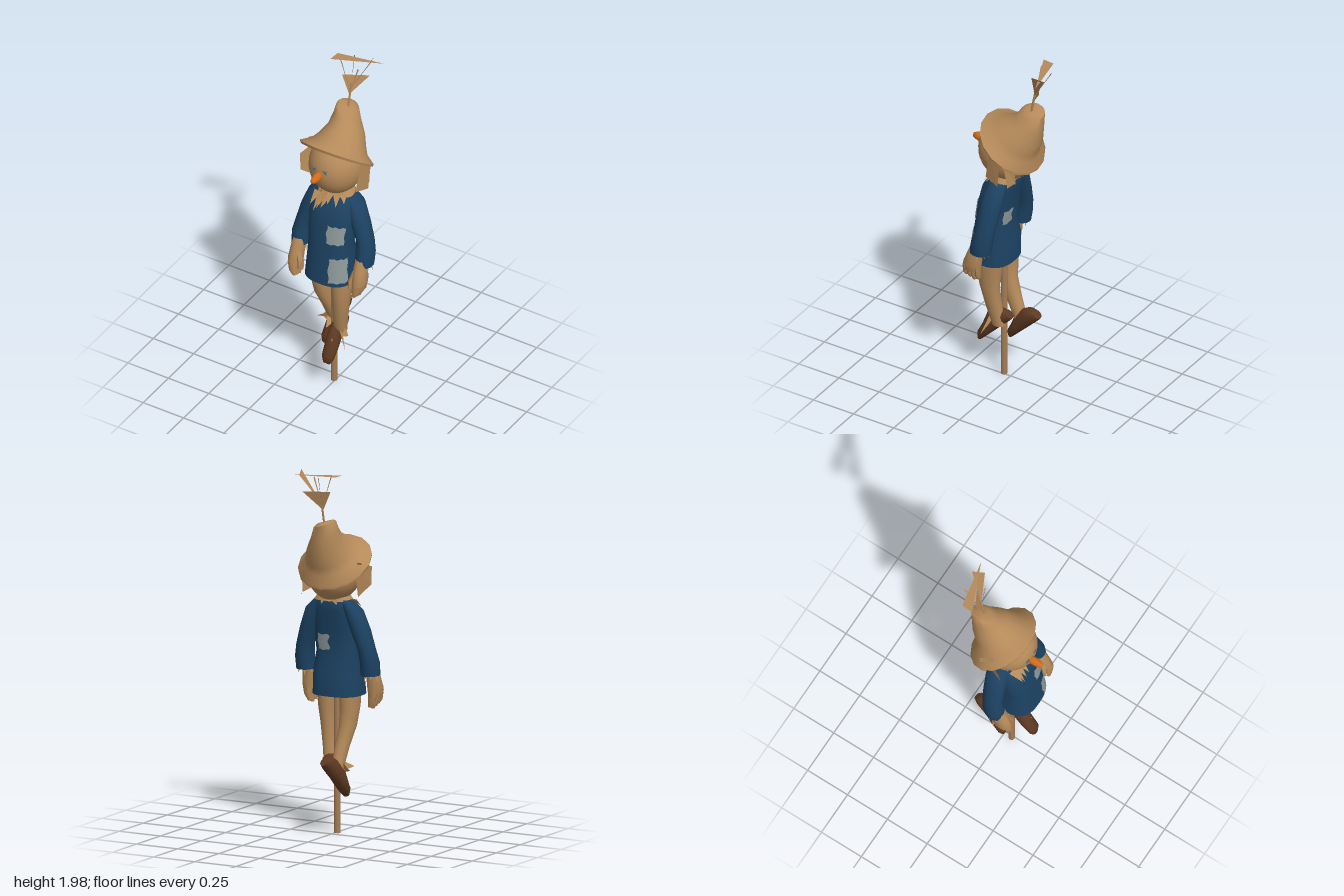
import * as THREE from 'three';
import { toCreasedNormals } from 'three/addons/utils/BufferGeometryUtils.js';

const mat = (name, color, side = THREE.FrontSide) => {
  const m = new THREE.MeshStandardMaterial({ color, side });
  m.name = name;
  return m;
};

// Unit outline point: exponent 1 is a circle, lower is boxier
const bend = (v, e) => Math.sign(v) * Math.abs(v) ** e;
const outline = (a, e) => [bend(Math.sin(a), e), bend(Math.cos(a), e)];

// Skin through rings [x, y, z, rx, rz, tilt about x, sideways slope]
function loft(rings, sides = 16, capStart = true, capEnd = true, e = 1) {
  const pos = [], idx = [], n = rings.length;
  const up = rings[n - 1][1] > rings[0][1];
  const tri = (a, b, c) => (up ? idx.push(a, b, c) : idx.push(a, c, b));
  for (const [x, y, z, rx, rz, t = 0, slope = 0] of rings) {
    for (let j = 0; j < sides; j++) {
      const [u, v] = outline((j / sides) * Math.PI * 2, e), w = rx * u, d = rz * v;
      pos.push(x + w, y + d * Math.sin(t) + w * slope, z + d * Math.cos(t));
    }
  }
  for (let i = 0; i < n - 1; i++) {
    for (let j = 0; j < sides; j++) {
      const k = (j + 1) % sides, p = i * sides, q = p + sides;
      tri(p + j, p + k, q + k);
      tri(p + j, q + k, q + j);
    }
  }
  const cap = (r, flip) => {
    const c = pos.length / 3, p = r * sides;
    pos.push(...rings[r].slice(0, 3));
    for (let j = 0; j < sides; j++) {
      const k = (j + 1) % sides;
      flip ? tri(c, p + k, p + j) : tri(c, p + j, p + k);
    }
  };
  if (capStart) cap(0, true);
  if (capEnd) cap(n - 1, false);
  const g = new THREE.BufferGeometry();
  g.setAttribute('position', new THREE.Float32BufferAttribute(pos, 3));
  g.setIndex(idx);
  return toCreasedNormals(g, 0.95);
}

// Flat straw blades, each a triangle of three points
function blades(list) {
  const g = new THREE.BufferGeometry();
  g.setAttribute('position', new THREE.Float32BufferAttribute(list.flat(2), 3));
  g.computeVertexNormals();
  return g;
}
const quad = (a, b, c, d) => [[a, b, c], [a, c, d]];

const BOXY = 0.77;
const TUNIC = [
  [0.005, 0.74, 0.09, 0.137, 0.12], [0.005, 0.87, 0.082, 0.13, 0.112],
  [0.003, 0.97, 0.088, 0.122, 0.092], [0, 1.1, 0.07, 0.13, 0.09],
  [0, 1.2, 0.05, 0.122, 0.086], [0, 1.25, 0.026, 0.105, 0.068], [0, 1.275, 0.022, 0.085, 0.055],
];

// Cloth panel hugging the tunic between two angles and two heights
function clothPatch(a0, a1, y0, y1) {
  const g = new THREE.PlaneGeometry(1, 1, 12, 8), p = g.attributes.position;
  for (let i = 0; i < p.count; i++) {
    const v = p.getY(i) + 0.5, a = a0 + (a1 - a0) * (p.getX(i) + 0.5) + 0.03 * Math.sin(v * 9);
    const y = y0 + (y1 - y0) * v + 0.003 * Math.sin(a * 17);
    let k = 0;
    while (k < TUNIC.length - 2 && y > TUNIC[k + 1][1]) k++;
    const f = (y - TUNIC[k][1]) / (TUNIC[k + 1][1] - TUNIC[k][1]);
    const [x, , z, rx, rz] = TUNIC[k].map((s, n) => s + (TUNIC[k + 1][n] - s) * f);
    const [u, w] = outline(a, BOXY);
    p.setXYZ(i, x + (rx + 0.004) * u, y, z + (rz + 0.004) * w);
  }
  g.computeVertexNormals();
  return g;
}

export function createModel() {
  const model = new THREE.Group();
  const straw = mat('straw', 0xb58a5a), strawThin = mat('strawThin', 0xb58a5a, THREE.DoubleSide);
  const blue = mat('blueCloth', 0x1c4262, THREE.DoubleSide);
  const grey = mat('greyPatch', 0x8f9a9b, THREE.DoubleSide);
  const brown = mat('brownLeather', 0x5e3a22), orange = mat('orange', 0xd46c1c);
  const wood = mat('wood', 0xa57e57), stitch = mat('stitch', 0x5c6d80);
  const add = (name, geo, m) => {
    const mesh = new THREE.Mesh(geo, m);
    mesh.name = name;
    model.add(mesh);
    return mesh;
  };

  // Support pole
  add('pole', new THREE.CylinderGeometry(0.018, 0.018, 1.2, 8), wood).position.set(-0.008, 0.6, 0.045);

  // Tunic with sewn patches
  add('tunic', loft(TUNIC, 32, false, true, BOXY), blue);
  add('hips', loft([[0, 0.755, 0.085, 0.122, 0.105], [0, 0.84, 0.085, 0.1, 0.08]], 16), straw);
  add('chestPatch', clothPatch(0.1, 0.98, 0.995, 1.1), grey);
  add('hemPatch', clothPatch(0.25, 1.2, 0.765, 0.91), grey);
  add('backPatch', clothPatch(Math.PI - 0.55, Math.PI - 0.03, 0.985, 1.07), grey);

  // Arms, hands and wrist straw
  for (const s of [1, -1]) {
    const side = s > 0 ? 'left' : 'right', ox = s > 0 ? 0 : -0.006;
    const flip = (rings) => rings.map(([x, ...r]) => [s * x + ox, ...r]);
    add(side + 'Sleeve', loft(flip([
      [0.07, 1.262, 0.018, 0.03, 0.042], [0.112, 1.205, 0.026, 0.05, 0.06], [0.15, 1.1, 0.036, 0.052, 0.06],
      [0.183, 1.0, 0.042, 0.046, 0.056], [0.194, 0.93, 0.055, 0.05, 0.06], [0.192, 0.86, 0.065, 0.05, 0.06],
    ]), 14, true, false), blue);
    add(side + 'Hand', loft(flip([
      [0.19, 0.9, 0.08, 0.036, 0.042], [0.191, 0.84, 0.1, 0.038, 0.046],
      [0.195, 0.78, 0.113, 0.04, 0.055], [0.191, 0.735, 0.117, 0.03, 0.05],
    ]), 10), straw);
    for (let i = 0; i < 4; i++) {
      const z = 0.08 + i * 0.024;
      add(side + 'Finger', loft(flip([
        [0.197, 0.77, z, 0.026, 0.015], [0.19, 0.715, z + 0.002, 0.023, 0.014], [0.18, 0.675 + 0.008 * Math.abs(i - 1), z + 0.004, 0.012, 0.01],
      ]), 7), straw);
    }
    add(side + 'Thumb', loft(flip([
      [0.172, 0.83, 0.12, 0.018, 0.02], [0.154, 0.78, 0.14, 0.014, 0.016], [0.154, 0.735, 0.148, 0.008, 0.009],
    ]), 7), straw);
    const cuff = [];
    for (let i = 0; i < 8; i++) {
      const a = (i / 8) * Math.PI * 2;
      const at = (b, r, y) => [s * (0.193 + r * Math.sin(b)) + ox, y, 0.075 + r * 1.15 * Math.cos(b)];
      cuff.push([at(a, 0.038, 0.88), at(a + 0.6, 0.038, 0.88), at(a + 0.3, 0.05, 0.825 + 0.015 * (i % 2))]);
    }
    add(side + 'WristStraw', blades(cuff), strawThin);
  }

  // Legs, shoes and ankle straw
  const legs = {
    left: { rings: [[0.066, 0.79, 0.08, 0.055, 0.075], [0.067, 0.68, 0.085, 0.05, 0.068], [0.064, 0.58, 0.09, 0.044, 0.056],
      [0.05, 0.46, 0.074, 0.038, 0.046], [0.037, 0.33, 0.05, 0.03, 0.036]], heel: [0.025, 0.385, -0.03], turn: 0 },
    right: { rings: [[-0.071, 0.79, 0.072, 0.053, 0.076], [-0.071, 0.68, 0.07, 0.049, 0.066], [-0.066, 0.58, 0.058, 0.044, 0.054],
      [-0.055, 0.47, 0.015, 0.036, 0.046], [-0.05, 0.34, -0.035, 0.03, 0.036]], heel: [-0.038, 0.395, -0.163], turn: 0.1 },
  };
  for (const [side, { rings, heel, turn }] of Object.entries(legs)) {
    add(side + 'Leg', loft(rings, 16, true, true, 0.9), straw);
    const shoe = add(side + 'Shoe', loft([
      [0, 0, -0.028, 0.024, 0.026], [0, 0.03, -0.043, 0.036, 0.043], [0, 0.11, -0.054, 0.036, 0.054],
      [0, 0.18, -0.037, 0.039, 0.037], [0, 0.245, -0.026, 0.036, 0.026], [0, 0.275, -0.013, 0.02, 0.013],
    ], 12), brown);
    shoe.position.set(...heel);
    shoe.rotation.set(Math.PI * 0.75, 0, turn);
    const [x, , z] = rings[4], o = Math.sign(x);
    add(side + 'AnkleStraw', blades([
      [[x + o * 0.01, 0.4, z + 0.04], [x + o * 0.03, 0.35, z + 0.03], [x + o * 0.07, o > 0 ? 0.28 : 0.37, z + 0.07]],
      [[x - 0.02, 0.4, z + 0.04], [x + 0.02, 0.35, z + 0.05], [x, 0.33, z + 0.095]],
      [[x + o * 0.02, 0.41, z], [x + o * 0.03, 0.34, z + 0.04], [x + o * 0.065, 0.35, z + 0.03]],
    ]), strawThin);
  }

  // Head, nose and stitched eyes
  const head = add('head', new THREE.SphereGeometry(1, 28, 20), straw);
  head.scale.set(0.147, 0.17, 0.16);
  head.position.set(-0.005, 1.42, 0.02);
  const nosePts = [[0, 0], [0.02, 0], [0.026, 0.025], [0.025, 0.055], [0.014, 0.083], [0, 0.09]];
  const nose = add('nose', new THREE.LatheGeometry(nosePts.map((p) => new THREE.Vector2(...p)), 12), orange);
  nose.rotation.x = Math.PI / 2;
  nose.scale.x = 0.88;
  nose.position.set(-0.021, 1.421, 0.157);
  for (const x of [-0.052, 0.014]) {
    for (const r of [0.7, -0.7]) {
      const eye = add('eyeStitch', new THREE.BoxGeometry(0.03, 0.007, 0.006), stitch);
      eye.position.set(x, 1.452, 0.173);
      eye.rotation.z = r;
    }
  }

  // Straw collar around the neck, with a longer tuft on the right of the chest
  add('collar', loft([[0, 1.255, 0.026, 0.106, 0.07], [0, 1.295, 0.022, 0.08, 0.056]], 24, false, true, BOXY), straw);
  const collar = [];
  for (let i = 0; i < 16; i++) {
    const a = (i / 16) * Math.PI * 2, c = Math.cos(a);
    const at = (b, rx, rz, y) => [rx * Math.sin(b), y, 0.03 + rz * Math.cos(b)];
    collar.push([at(a - 0.22, 0.1, 0.068, 1.265), at(a + 0.22, 0.1, 0.068, 1.265),
      at(a + 0.1, 0.115, c > 0 ? 0.115 : 0.085, 1.24 - 0.015 * c - 0.015 * (i % 2))]);
  }
  for (const [x, y] of [[-0.085, 1.2], [-0.065, 1.165], [-0.045, 1.19], [-0.02, 1.2]]) {
    collar.push([[x - 0.015, 1.25, 0.09], [x + 0.03, 1.25, 0.1], [x, y, 0.165]]);
  }
  add('collarStraw', blades(collar), strawThin);

  // Straw hair hanging beside the face
  add('hair', blades([
    ...quad([0.152, 1.475, 0.035], [0.167, 1.445, -0.04], [0.162, 1.285, -0.02], [0.137, 1.305, 0.068]),
    ...quad([0.142, 1.44, -0.04], [0.117, 1.42, -0.1], [0.117, 1.31, -0.105], [0.142, 1.28, -0.07]),
    ...quad([-0.155, 1.475, -0.03], [-0.195, 1.44, 0.085], [-0.188, 1.34, 0.09], [-0.148, 1.28, 0.02]),
  ]), strawThin);

  // Tilted hat with a pinched, lopsided top
  const T = 0.63;
  add('hat', loft([
    [-0.015, 1.465, -0.005, 0.14, 0.145, T], [-0.02, 1.45, 0, 0.203, 0.192, T], [-0.02, 1.466, 0, 0.206, 0.195, T],
    [-0.012, 1.497, -0.018, 0.152, 0.158, T], [-0.01, 1.525, -0.045, 0.128, 0.135, T], [-0.012, 1.57, -0.086, 0.1, 0.11, 0.6],
    [-0.022, 1.63, -0.108, 0.074, 0.08, 0.35, -0.15], [-0.028, 1.685, -0.12, 0.057, 0.068, 0.05, -0.3],
    [-0.032, 1.698, -0.12, 0.045, 0.04, 0, -0.3],
  ], 16, false, true), strawThin);
  const strip = add('hatStrip', new THREE.BoxGeometry(0.022, 0.014, 0.09), straw);
  strip.position.set(-0.175, 1.497, 0);
  strip.rotation.set(-T, 0.3, 0.45);

  // Straw sprig on the hat
  const stem = new THREE.CatmullRomCurve3([[-0.022, 1.66, -0.11], [-0.02, 1.76, -0.13], [-0.018, 1.83, -0.145]].map((p) => new THREE.Vector3(...p)));
  add('sprigStem', new THREE.TubeGeometry(stem, 6, 0.006, 6), straw);
  add('sprigBlades', blades([
    [[-0.135, 1.955, -0.12], [0.128, 1.955, -0.235], [-0.13, 1.955, -0.185]],
    [[0.055, 1.96, -0.245], [0.08, 1.98, -0.18], [-0.018, 1.8, -0.14]],
    [[-0.075, 1.865, -0.14], [0.055, 1.865, -0.21], [-0.025, 1.76, -0.13]],
    [[-0.052, 1.95, -0.225], [-0.045, 1.95, -0.22], [-0.02, 1.8, -0.14]],
    [[-0.085, 1.955, -0.14], [-0.078, 1.955, -0.14], [-0.022, 1.78, -0.135]],
    [[0.022, 1.94, -0.14], [0.026, 1.93, -0.145], [-0.018, 1.79, -0.135]],
  ]), strawThin);
  return model;
}
